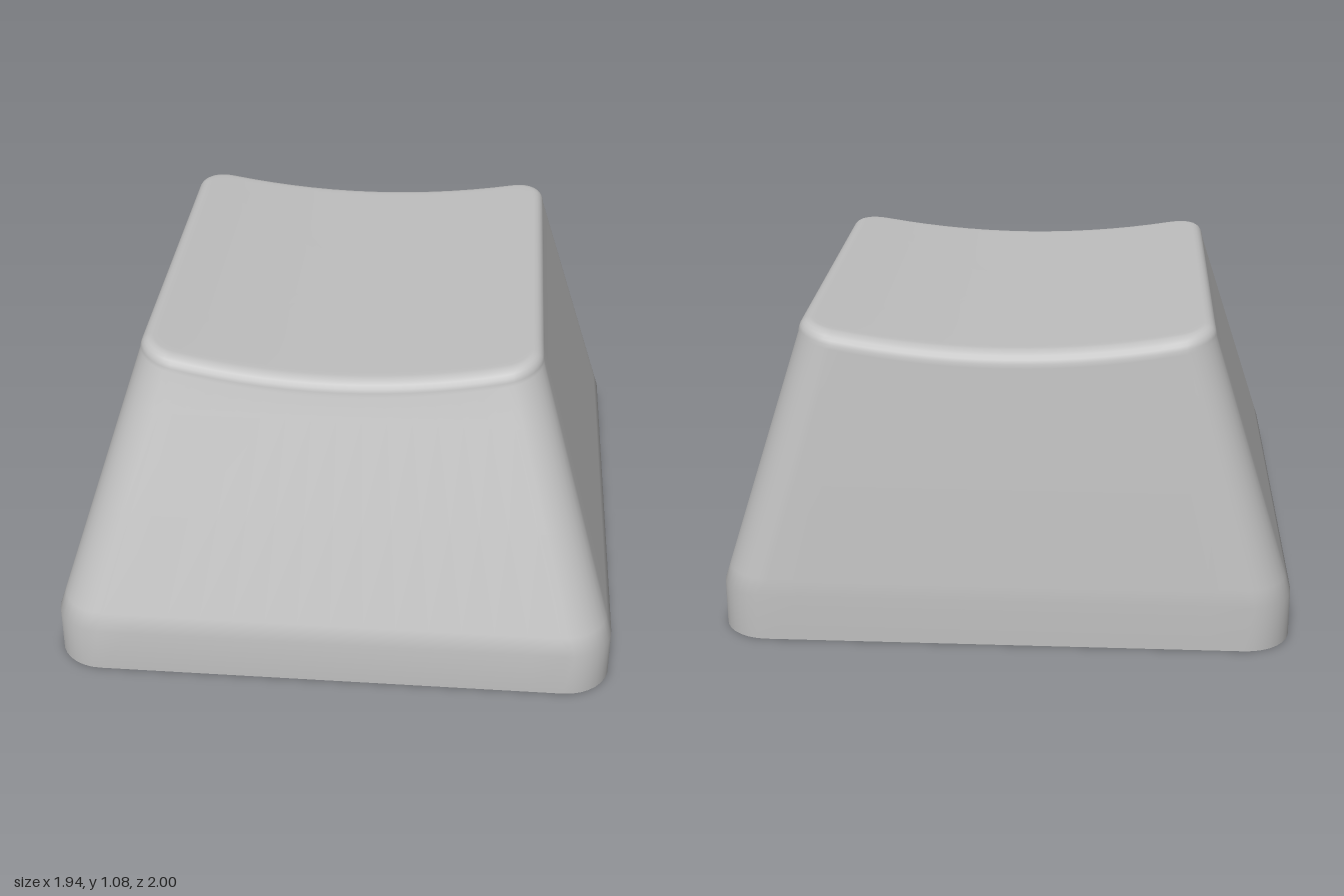
import * as THREE from 'three';
import { toCreasedNormals } from 'three/addons/utils/BufferGeometryUtils.js';

const SKIRT = 0.16, CEILING = 0.84, FILLET = 0.055;
const dish = (x) => 1.012 + 0.165 * x * x;

// Rounded-rectangle outline of the tapered body at height y, moved inwards by inset
function outline(y, inset, radius) {
  const t = Math.max(0, y - SKIRT);
  const w = 0.97 - 0.316 * t - inset;
  const front = 1 - 0.41 * t - inset;
  const back = -1 + 0.115 * t + inset;
  const corners = [[w, front, 0], [-w, front, 1], [-w, back, 2], [w, back, 3]];
  const arcs = corners.map(([x, z, q]) => {
    const cx = x - Math.sign(x) * radius;
    const cz = z + (q < 2 ? -radius : radius);
    return Array.from({ length: 9 }, (_, i) => {
      const a = (q + i / 8) * Math.PI / 2;
      return [cx + radius * Math.cos(a), cz + radius * Math.sin(a)];
    });
  });
  // Join the corner arcs with subdivided straight edges
  const points = [];
  arcs.forEach((arc, k) => {
    points.push(...arc);
    const a = arc[8], b = arcs[(k + 1) % 4][0];
    for (let i = 1; i < 14; i++) {
      const s = i / 14;
      points.push([a[0] + (b[0] - a[0]) * s, a[1] + (b[1] - a[1]) * s]);
    }
  });
  return points;
}

const flatRing = (y, inset, radius) => outline(y, inset, radius).map(([x, z]) => [x, y, z]);

// Ring that follows the dished top, lowered by drop
function dishedRing(drop, inset, radius) {
  return outline(1.03, inset, radius).map(([x0, z0], i) => {
    const wallY = dish(x0) - FILLET;
    const [x, z] = outline(wallY, inset, radius)[i];
    return [x, dish(x) - drop, z];
  });
}

// Skin a sequence of closed rings
function loft(rings) {
  const n = rings[0].length, index = [];
  for (let j = 0; j < rings.length - 1; j++) {
    for (let i = 0; i < n; i++) {
      const k = (i + 1) % n;
      const a = j * n + i, b = j * n + k, c = a + n, d = b + n;
      index.push(a, c, b, b, c, d);
    }
  }
  const g = new THREE.BufferGeometry();
  g.setAttribute('position', new THREE.Float32BufferAttribute(rings.flat(2), 3));
  g.setIndex(index);
  g.computeVertexNormals();
  return g;
}

function postGeometry() {
  const h = 0.3, r = 0.12, long = 0.25, w = 0.14;
  const shape = new THREE.Shape();
  shape.absarc(h - r, h - r, r, 0, Math.PI / 2);
  shape.absarc(r - h, h - r, r, Math.PI / 2, Math.PI);
  shape.absarc(r - h, r - h, r, Math.PI, Math.PI * 1.5);
  shape.absarc(h - r, r - h, r, Math.PI * 1.5, Math.PI * 2);
  // Cross-shaped socket
  const cross = [[long, -w / 2], [long, w / 2], [w / 2, w / 2], [w / 2, long],
    [-w / 2, long], [-w / 2, w / 2], [-long, w / 2], [-long, -w / 2],
    [-w / 2, -w / 2], [-w / 2, -long], [w / 2, -long], [w / 2, -w / 2]];
  shape.holes.push(new THREE.Path(cross.map(([x, y]) => new THREE.Vector2(x, y))));
  const g = new THREE.ExtrudeGeometry(shape, { depth: 0.45, bevelEnabled: false, curveSegments: 8 });
  g.rotateX(Math.PI / 2);
  return toCreasedNormals(g, 0.5);
}

export function createModel() {
  const model = new THREE.Group();
  model.name = 'keycap';
  const plastic = new THREE.MeshStandardMaterial({ color: 0xbfbfbf });
  plastic.name = 'grey plastic';
  const add = (name, geometry) => {
    const mesh = new THREE.Mesh(geometry, plastic);
    mesh.name = name;
    model.add(mesh);
    return mesh;
  };

  // Outer shell: skirt, tapered walls, rounded edge and dished top
  const shell = [flatRing(0, 0, 0.16), flatRing(SKIRT, 0, 0.16), flatRing(0.22, 0, 0.16),
    flatRing(0.55, 0, 0.15), flatRing(0.88, 0, 0.14)];
  for (let i = 0; i <= 6; i++) {
    const a = i / 6 * Math.PI / 2;
    const inset = FILLET * (1 - Math.cos(a));
    shell.push(dishedRing(FILLET * (1 - Math.sin(a)), inset, 0.135 - inset));
  }
  const edge = shell[shell.length - 1], midZ = -0.13;
  for (const s of [0.97, 0.85, 0.7, 0.55, 0.4, 0.25, 0.1, 0.001]) {
    shell.push(edge.map(([x, , z]) => [x * s, dish(x * s), midZ + (z - midZ) * s]));
  }
  add('outerShell', loft(shell));

  // Bottom rim, hollow inside and its ceiling
  const lip = flatRing(0, 0.1, 0.07);
  const ceiling = flatRing(CEILING, 0.1, 0.06);
  add('bottomRim', loft([lip, flatRing(0, 0, 0.16)]));
  add('innerWalls', loft([ceiling, flatRing(SKIRT, 0.1, 0.07), flatRing(0.06, 0.1, 0.07), lip]));
  add('innerCeiling', loft([ceiling.map(([x, y, z]) => [x * 0.001, y, midZ + (z - midZ) * 0.001]), ceiling]));

  // Mounting post
  add('mountingPost', postGeometry()).position.set(0, 0.86, 0.06);
  return model;
}
